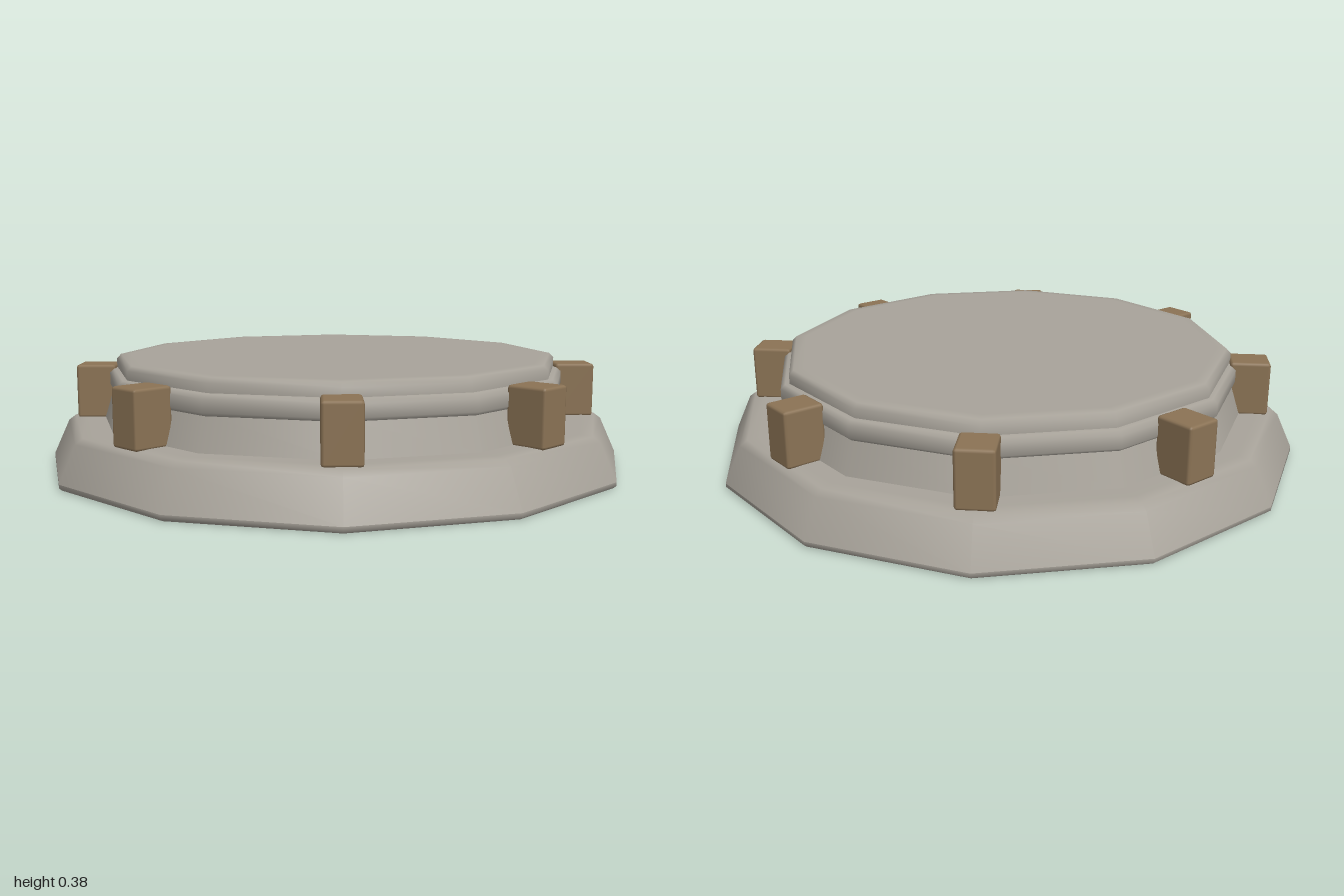
import * as THREE from 'three';
import { RoundedBoxGeometry } from 'three/addons/geometries/RoundedBoxGeometry.js';

const SIDES = 12;

export function createModel() {
  const model = new THREE.Group();
  model.name = 'roundPlatform';

  const stone = new THREE.MeshStandardMaterial({ color: 0xa8a39a });
  stone.name = 'stoneGrey';
  const bronze = new THREE.MeshStandardMaterial({ color: 0x8b7355 });
  bronze.name = 'bronze';

  // Twelve-sided turned part; profile runs from bottom to top
  function turned(name, profile) {
    const points = profile.map(([r, y]) => new THREE.Vector2(r, y));
    const mesh = new THREE.Mesh(new THREE.LatheGeometry(points, SIDES), stone);
    mesh.name = name;
    model.add(mesh);
  }

  // Underside and sloping plinth
  turned('underside', [[0, 0], [0.99, 0]]);
  turned('plinthFoot', [[0.99, 0], [1, 0.008], [1, 0.02]]);
  turned('plinth', [[1, 0.02], [0.945, 0.14], [0.92, 0.158], [0.88, 0.16], [0.78, 0.16]]);

  // Drum wall, rim band and cap
  turned('drum', [[0.82, 0.16], [0.785, 0.27]]);
  turned('rimBand', [[0.76, 0.26], [0.785, 0.262], [0.8, 0.275], [0.8, 0.315], [0.785, 0.328], [0.75, 0.33]]);
  turned('cap', [[0.77, 0.325], [0.77, 0.358], [0.755, 0.373], [0.72, 0.375], [0, 0.375]]);

  // Eight bevelled clamps around the rim
  const clampGeometry = new RoundedBoxGeometry(0.12, 0.185, 0.135, 1, 0.01);
  for (let i = 0; i < 8; i++) {
    const angle = (i * Math.PI) / 4;
    const clamp = new THREE.Mesh(clampGeometry, bronze);
    clamp.name = 'clamp' + (i + 1);
    clamp.position.set(Math.sin(angle) * 0.833, 0.248, Math.cos(angle) * 0.833);
    clamp.rotation.y = angle;
    model.add(clamp);
  }

  return model;
}
